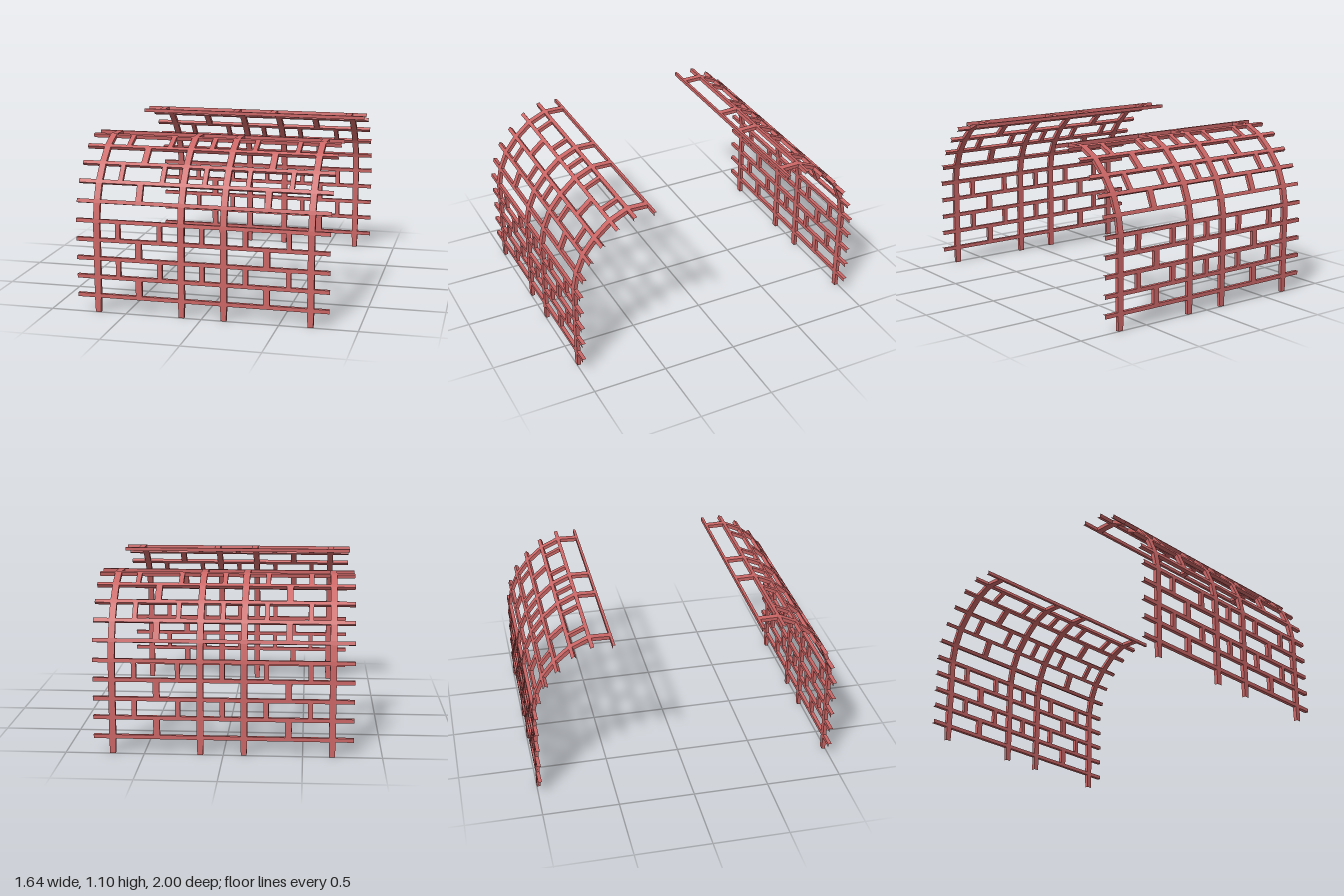
import * as THREE from 'three';
import { mergeGeometries } from 'three/addons/utils/BufferGeometryUtils.js';

const material = new THREE.MeshStandardMaterial({ color: 0xcc6666, flatShading: true });

// Side profile as [z, y]: foot of the wall, straight rows, curved shoulder, roof edge
const PROFILE = [
  [0.988, 0], [0.988, 0.11], [0.988, 0.235], [0.988, 0.357], [0.988, 0.48], [0.988, 0.603],
  [0.965, 0.725], [0.915, 0.842], [0.834, 0.945], [0.73, 1.035], [0.612, 1.088], [0.479, 1.088],
];
const LAST = PROFILE.length - 1;
const HALF_THICK = 0.012, HALF_RAIL = 0.0125, RAIL_END = 0.82;

const MAIN = [-0.685, -0.13, 0.145, 0.7];
const PAIR = [-0.41, 0.42];
const FIVE = [-0.545, -0.27, 0.005, 0.285, 0.56];
// Extra short struts in each row between rails
const ROWS = [[], PAIR, FIVE, PAIR, FIVE, [], PAIR, FIVE, PAIR, FIVE, []];

// Open-ended four-sided beam between two rings of corners, faces turned outward
function beam(a, b) {
  const center = new THREE.Vector3();
  [...a, ...b].forEach((p) => center.addScaledVector(p, 1 / 8));
  const pos = [];
  for (let i = 0; i < 4; i++) {
    const j = (i + 1) % 4;
    let q = [a[i], a[j], b[j], b[i]];
    const n = q[1].clone().sub(q[0]).cross(q[2].clone().sub(q[0]));
    if (n.dot(q[0].clone().add(q[2]).multiplyScalar(0.5).sub(center)) < 0) q = q.reverse();
    for (const k of [0, 1, 2, 0, 2, 3]) pos.push(...q[k].toArray());
  }
  const g = new THREE.BufferGeometry();
  g.setAttribute('position', new THREE.Float32BufferAttribute(pos, 3));
  g.computeVertexNormals();
  return g;
}

// Point at a profile node, shifted along the profile and through its thickness
function point(i, x, along, out, side) {
  const p = PROFILE[i], a = PROFILE[Math.max(i - 1, 0)], b = PROFILE[Math.min(i + 1, LAST)];
  const len = Math.hypot(b[0] - a[0], b[1] - a[1]);
  const tz = (b[0] - a[0]) / len, ty = (b[1] - a[1]) / len;
  return new THREE.Vector3(x, p[1] + ty * along - tz * out, side * (p[0] + tz * along + ty * out));
}

const halfRail = (i) => (i === 0 ? 0 : i === LAST ? 0.0085 : HALF_RAIL);

function rail(i, side) {
  const h = halfRail(i), t = HALF_THICK;
  const ring = (x) => [[-h, -t], [h, -t], [h, t], [-h, t]].map(([u, v]) => point(i, x, u, v, side));
  return beam(ring(-RAIL_END), ring(RAIL_END));
}

// Strut spanning the gap from rail i to rail i + 1
function strut(i, x, width, side) {
  const t = HALF_THICK, w = width / 2;
  const ring = (node, along, hw) => [[-hw, -t], [hw, -t], [hw, t], [-hw, t]]
    .map(([dx, v]) => point(node, x + dx, along, v, side));
  return beam(ring(i, halfRail(i), i === 0 ? w * 0.85 : w), ring(i + 1, -halfRail(i + 1), w));
}

function addMesh(parent, name, geometries) {
  const mesh = new THREE.Mesh(mergeGeometries(geometries), material);
  mesh.name = name;
  parent.add(mesh);
}

function buildWall(name, side) {
  const wall = new THREE.Group();
  wall.name = name;
  // Long horizontal rails
  for (let i = 1; i <= LAST; i++) addMesh(wall, 'rail' + i, [rail(i, side)]);
  // Full-height ribs following the curve
  MAIN.forEach((x, k) => addMesh(wall, 'rib' + (k + 1), ROWS.map((_, i) => strut(i, x, 0.042, side))));
  // Short struts in a brick-like stagger
  ROWS.forEach((xs, i) => {
    if (xs.length) addMesh(wall, 'shortStruts' + i, xs.map((x) => strut(i, x, xs === PAIR ? 0.041 : 0.031, side)));
  });
  return wall;
}

export function createModel() {
  const model = new THREE.Group();
  model.name = 'archedLattice';
  model.add(buildWall('frontWall', 1), buildWall('backWall', -1));
  return model;
}
